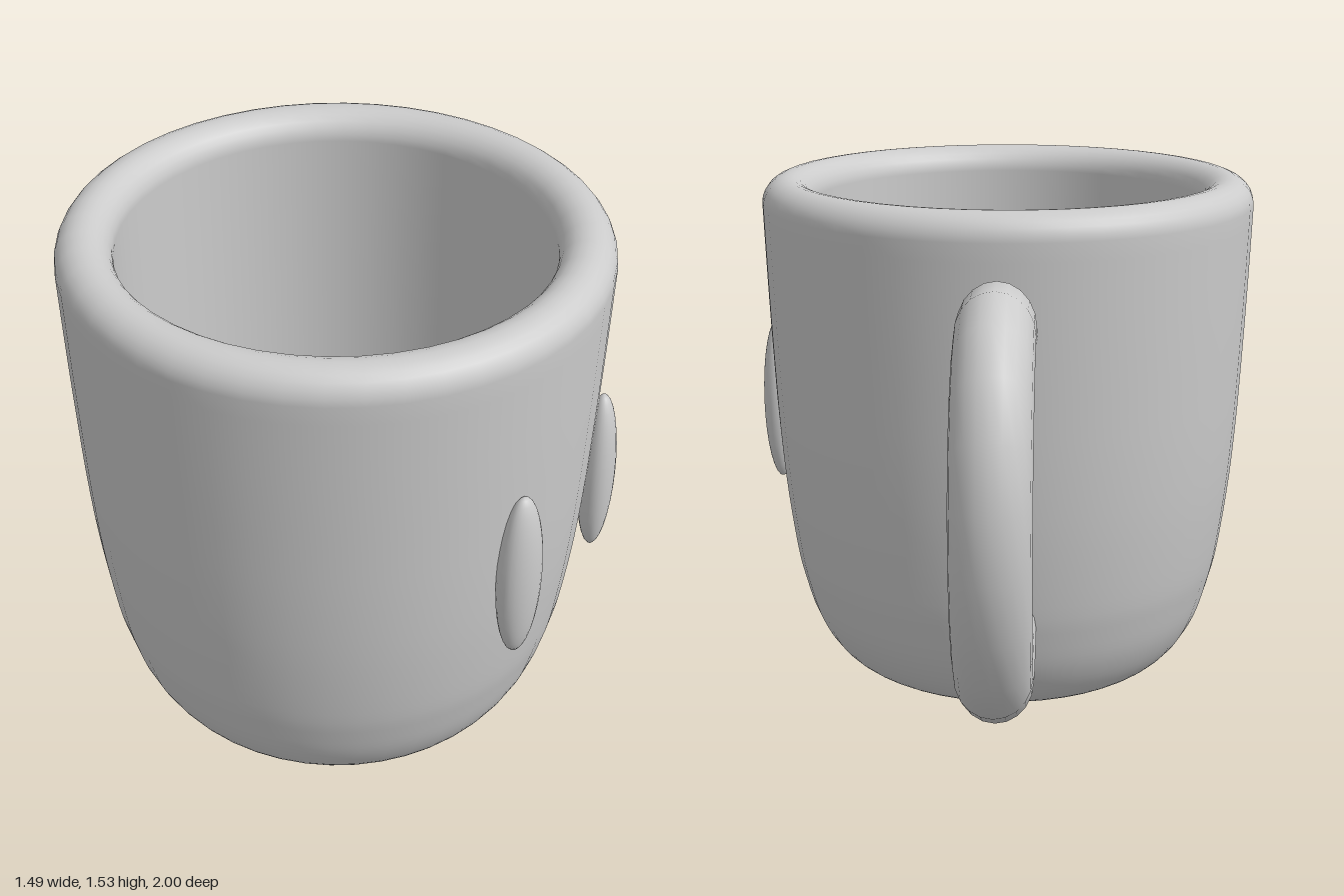
import * as THREE from 'three';

const CUP_X = -0.025, CUP_Z = 0.27;

export function createModel() {
  const model = new THREE.Group();
  const material = new THREE.MeshStandardMaterial({ color: 0xcccccc, side: THREE.DoubleSide });
  const add = (name, geometry, parent = model) => {
    const mesh = new THREE.Mesh(geometry, material);
    mesh.name = name;
    parent.add(mesh);
    return mesh;
  };
  const lathe = (points) => new THREE.LatheGeometry(points.map(([r, y]) => new THREE.Vector2(r, y)), 48);

  const cup = new THREE.Group();
  cup.name = 'cup';
  cup.position.set(CUP_X, 0, CUP_Z);
  model.add(cup);

  // Outer wall: rounded foot, then a gentle flare to the rim
  const wall = new THREE.SplineCurve([
    [0.36, 0.004], [0.43, 0.02], [0.505, 0.058], [0.56, 0.115], [0.605, 0.2], [0.635, 0.3],
    [0.657, 0.4], [0.683, 0.6], [0.699, 0.8], [0.709, 1.0], [0.717, 1.2], [0.725, 1.455],
  ].map(([r, y]) => new THREE.Vector2(r, y)));
  const outer = wall.getPoints(40).map((p) => [p.x, p.y]);

  // Rounded rim running over into the straight inner wall
  const rim = [];
  for (let i = 1; i <= 12; i++) {
    const a = (i / 12) * Math.PI;
    rim.push([0.65 + 0.075 * Math.cos(a), 1.455 + 0.075 * Math.sin(a)]);
  }
  add('body', lathe([[0, 0], ...outer, ...rim, [0.575, 0.28]]), cup);

  // Flat floor inside
  const floor = add('innerFloor', new THREE.CircleGeometry(0.575, 48), cup);
  floor.rotation.x = -Math.PI / 2;
  floor.position.y = 0.28;

  // Handle: open ring, stretched upright, with its ends sunk in the wall
  const gap = THREE.MathUtils.degToRad(58);
  const ring = new THREE.TorusGeometry(4, 1, 20, 14, 2 * (Math.PI - gap));
  ring.rotateZ(gap);
  ring.scale(0.09, 0.122, 0.105);
  ring.rotateZ(0.12);
  ring.rotateY(-Math.PI / 2);
  add('handle', ring).position.set(CUP_X, 0.77, -0.555);

  // Two tall oval studs on the wall
  for (const [name, degrees] of [['frontStud', 48], ['sideStud', 7.5]]) {
    const a = THREE.MathUtils.degToRad(degrees);
    const stud = add(name, new THREE.SphereGeometry(1, 24, 16), cup);
    stud.scale.set(0.05, 0.255, 0.067);
    stud.position.set(0.724 * Math.cos(a), 0.805, 0.724 * Math.sin(a));
    stud.rotation.y = -a;
  }
  return model;
}
